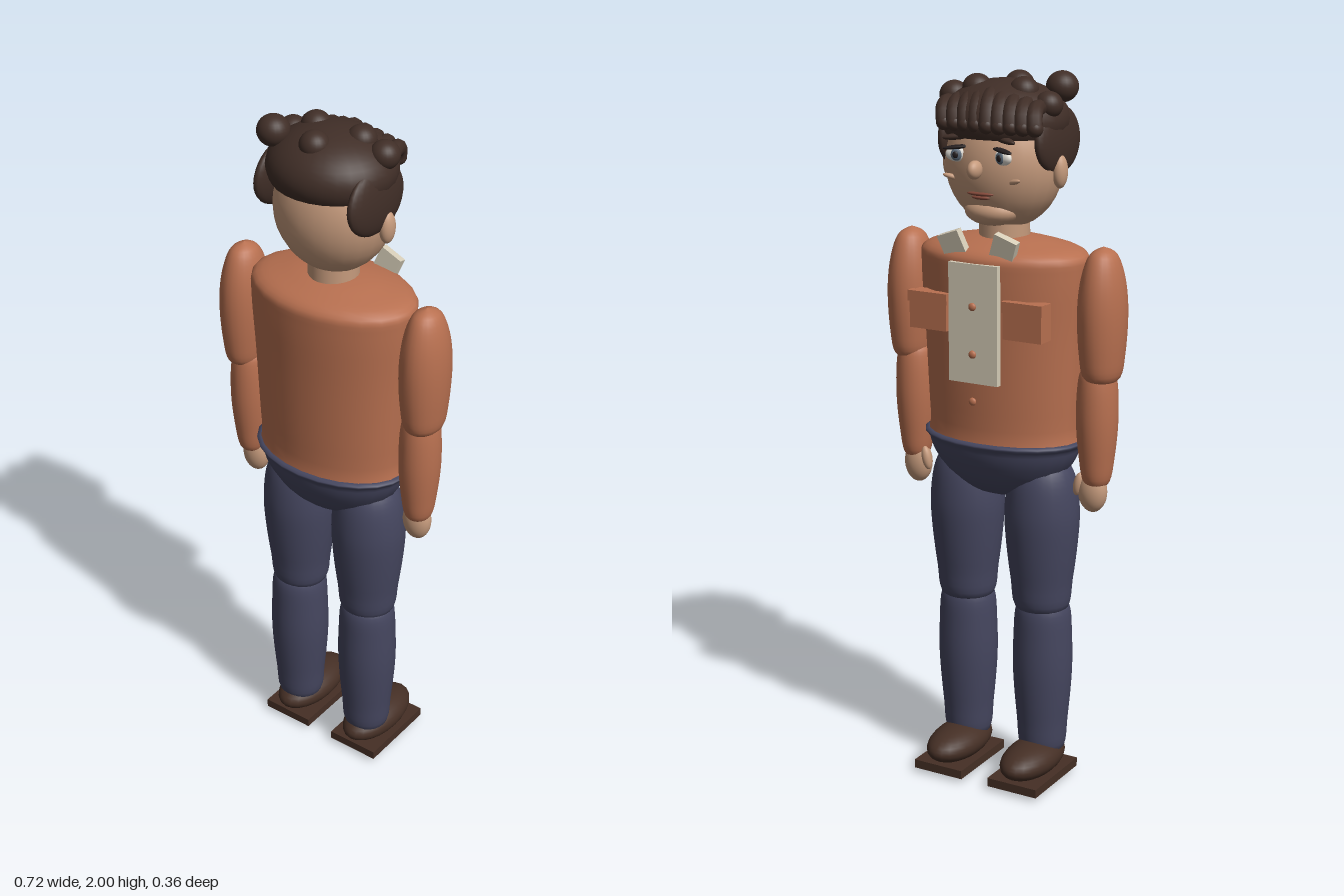
import * as THREE from 'three';

const mat = (name, color, extra = {}) => {
  const m = new THREE.MeshStandardMaterial({ color, ...extra });
  m.name = name;
  return m;
};

export function createModel() {
  const model = new THREE.Group();
  model.name = 'standingMan';

  const skin = mat('skin', 0xc59a7c);
  const shirt = mat('rustShirt', 0xb87050);
  const cream = mat('creamCloth', 0xd6cdb8);
  const denim = mat('navyTrousers', 0x45465f);
  const hair = mat('darkHair', 0x402e27);
  const leather = mat('brownLeather', 0x452f25);
  const white = mat('eyeWhite', 0xe4e0d8);
  const dark = mat('darkDetail', 0x241e1f);
  const iris = mat('greyIris', 0x5c6b7a);
  const lip = mat('lip', 0x84493a);

  const add = (name, geo, material, pos, rot = [0, 0, 0], scale = [1, 1, 1]) => {
    const m = new THREE.Mesh(geo, material);
    m.name = name;
    m.position.set(...pos);
    m.rotation.set(...rot);
    m.scale.set(...scale);
    model.add(m);
    return m;
  };
  const ball = new THREE.SphereGeometry(1, 24, 18);
  const blob = (name, material, pos, radii, rot) => add(name, ball, material, pos, rot, radii);
  const box = (name, material, pos, size, rot) => add(name, new THREE.BoxGeometry(...size), material, pos, rot);
  // Smooth turned solid from [radius, height] points, bottom to top
  const turned = (name, material, pts, pos, depth) => {
    const curve = new THREE.SplineCurve(pts.map(p => new THREE.Vector2(...p)));
    const profile = curve.getPoints(pts.length * 4).map(p => new THREE.Vector2(Math.max(0, p.x), p.y));
    return add(name, new THREE.LatheGeometry(profile, 24), material, pos, [0, 0, 0], [1, 1, depth]);
  };

  // Torso, hips and neck
  turned('torso', shirt, [[0, 0.985], [0.21, 0.99], [0.223, 1.05], [0.236, 1.3], [0.246, 1.47],
    [0.236, 1.527], [0.15, 1.553], [0.07, 1.565], [0, 1.566]], [0, 0, 0.012], 0.66);
  turned('hips', denim, [[0, 0.835], [0.09, 0.845], [0.16, 0.885], [0.205, 0.94], [0.224, 0.985],
    [0.221, 1.012], [0, 1.015]], [0, 0, 0.012], 0.68);
  add('neck', new THREE.CylinderGeometry(0.068, 0.07, 0.12, 24), skin, [0, 1.565, 0.012]);

  // Head
  blob('head', skin, [0, 1.76, 0.013], [0.165, 0.18, 0.145]);
  blob('chin', skin, [0, 1.637, -0.055], [0.078, 0.04, 0.058]);
  blob('nose', skin, [0, 1.757, -0.145], [0.018, 0.025, 0.028]);
  blob('upperLip', lip, [0, 1.69, -0.116], [0.04, 0.006, 0.01]);
  blob('lowerLip', lip, [0, 1.68, -0.113], [0.028, 0.006, 0.01]);

  for (const s of [1, -1]) {
    // Ears, eyes and cheeks
    blob('ear', skin, [s * 0.168, 1.745, 0.012], [0.02, 0.045, 0.025]);
    const turn = [0, s * 0.35, 0];
    blob('eyeWhite', white, [s * 0.068, 1.79, -0.117], [0.033, 0.02, 0.014], turn);
    blob('iris', iris, [s * 0.066, 1.79, -0.128], [0.015, 0.016, 0.006], turn);
    blob('pupil', dark, [s * 0.066, 1.79, -0.133], [0.008, 0.009, 0.004], turn);
    blob('upperLid', dark, [s * 0.069, 1.809, -0.122], [0.037, 0.006, 0.012], [0, s * 0.35, -s * 0.12]);
    blob('eyebrow', hair, [s * 0.07, 1.836, -0.112], [0.042, 0.009, 0.012], [0, s * 0.35, -s * 0.12]);
    blob('cheekLine', skin, [s * 0.095, 1.727, -0.105], [0.024, 0.007, 0.008], [0, s * 0.35, s * 0.25]);

    // Hair over the temples
    blob('sideHair', hair, [s * 0.147, 1.825, 0.035], [0.029, 0.092, 0.115], [0, 0, s * 0.05]);

    // Arms
    turned('upperArm', shirt, [[0, 0], [0.045, 0.008], [0.059, 0.08], [0.064, 0.19], [0.056, 0.28],
      [0.035, 0.345], [0, 0.367]], [s * 0.298, 1.19, 0.015], 1.28);
    turned('forearm', shirt, [[0, 0], [0.034, 0.006], [0.048, 0.08], [0.056, 0.18], [0.053, 0.28],
      [0.04, 0.325], [0, 0.335]], [s * 0.287, 0.9, 0.013], 1.1);
    blob('hand', skin, [s * 0.279, 0.882, 0.007], [0.042, 0.06, 0.033]);
    blob('thumb', skin, [s * 0.243, 0.9, -0.008], [0.014, 0.034, 0.014], [0, 0, -s * 0.2]);

    // Legs
    turned('thigh', denim, [[0, 0.51], [0.072, 0.515], [0.088, 0.6], [0.102, 0.72], [0.105, 0.81],
      [0.092, 0.9], [0.06, 0.95], [0, 0.965]], [s * 0.12, 0, 0.012], 0.97);
    turned('shin', denim, [[0, 0.085], [0.06, 0.088], [0.073, 0.18], [0.084, 0.32], [0.083, 0.43],
      [0.076, 0.515], [0.05, 0.54], [0, 0.545]], [s * 0.122, 0, 0.016], 0.98);

    // Shoes
    blob('shoe', leather, [s * 0.121, 0.073, -0.038], [0.074, 0.05, 0.138]);
    box('sole', leather, [s * 0.121, 0.025, -0.038], [0.156, 0.025, 0.245]);
    box('tread', leather, [s * 0.121, 0.007, -0.038], [0.12, 0.014, 0.19]);

    // Pockets and collar wings
    box('pocket', shirt, [s * 0.145, 1.365, -0.123], [0.115, 0.1, 0.055]);
    box('pocketFlap', shirt, [s * 0.145, 1.403, -0.142], [0.122, 0.03, 0.025]);
    box('collarWing', cream, [s * 0.068, 1.525, -0.12], [0.068, 0.125, 0.022], [-0.18, 0, -s * 0.35]);
  }

  // Button strip
  box('buttonStrip', cream, [0, 1.347, -0.149], [0.15, 0.325, 0.018]);
  for (const y of [1.395, 1.265, 1.135]) blob('button', shirt, [0, y, -0.161], [0.011, 0.011, 0.007]);

  // Hair cap with a flat underside
  const cap = new THREE.SphereGeometry(1, 28, 14, 0, Math.PI * 2, 0, Math.PI * 0.62);
  add('hairCap', cap, hair, [0, 1.873, 0.018], [0, 0, 0], [0.176, 0.106, 0.163]);
  const under = new THREE.CircleGeometry(Math.sin(Math.PI * 0.62), 28);
  add('hairCapUnderside', under, hair, [0, 1.834, 0.018], [Math.PI / 2, 0, 0], [0.176, 0.163, 1]);

  // Curls: x, y, z, radius
  for (const [x, y, z, r] of [[-0.132, 1.957, 0.088, 0.044], [-0.071, 1.952, -0.01, 0.04],
    [0.071, 1.952, -0.01, 0.04], [0.142, 1.93, -0.01, 0.04], [0, 1.955, 0.092, 0.04],
    [-0.145, 1.92, -0.01, 0.038]]) {
    blob('curl', hair, [x, y, z], [r, r * 0.95, r]);
  }

  // Fringe locks swept forward over the forehead
  for (let i = 0; i < 9; i++) {
    const x = -0.165 + i * 0.034;
    const edge = Math.abs(i - 4) / 4;
    const path = new THREE.QuadraticBezierCurve3(
      new THREE.Vector3(x + 0.03, 1.945 - 0.03 * edge, -0.045),
      new THREE.Vector3(x + 0.01, 1.945 - 0.02 * edge, -0.115),
      new THREE.Vector3(x, 1.872, -0.132 + 0.012 * edge));
    add('fringeLock', new THREE.TubeGeometry(path, 8, 0.022, 10), hair, [0, 0, 0]);
    for (const t of [0, 1]) blob('fringeTip', hair, path.getPoint(t).toArray(), [0.022, 0.022, 0.022]);
  }

  return model;
}
